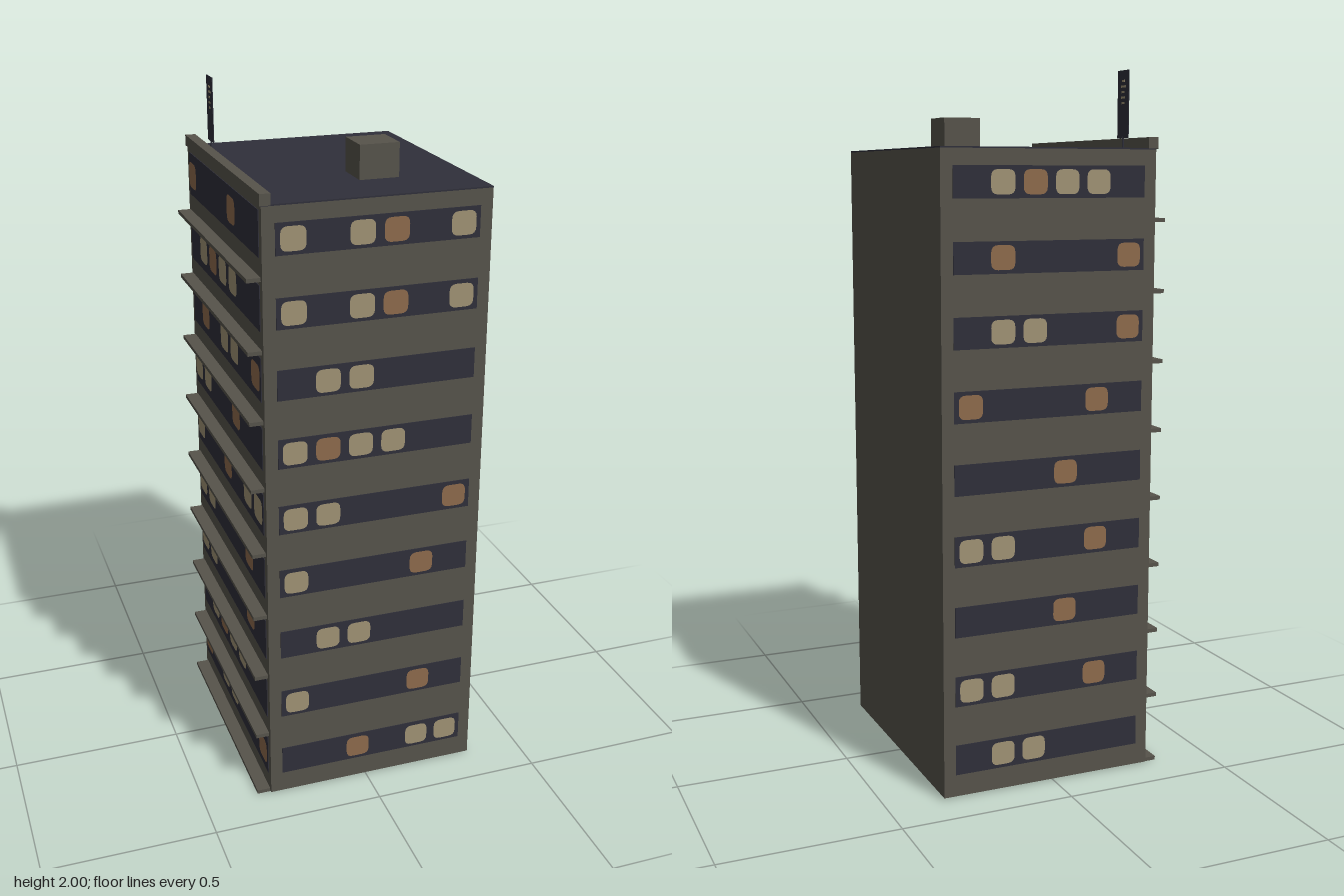
import * as THREE from 'three';

export function createModel() {
  const model = new THREE.Group();
  model.name = 'apartmentTower';

  const mat = (name, color) => {
    const m = new THREE.MeshStandardMaterial({ color });
    m.name = name;
    return m;
  };
  const wall = mat('concrete', 0x56534b);
  const dark = mat('darkGlass', 0x2f2f3a);
  const light = mat('paleLight', 0x9f9274);
  const amber = mat('amberLight', 0x8e6b4c);

  const add = (parent, name, geometry, material, x, y, z) => {
    const mesh = new THREE.Mesh(geometry, material);
    mesh.name = name;
    mesh.position.set(x, y, z);
    parent.add(mesh);
    return mesh;
  };
  // Box from its lower and upper limits on each axis
  const box = (name, material, [x0, x1], [y0, y1], [z0, z1]) =>
    add(model, name, new THREE.BoxGeometry(x1 - x0, y1 - y0, z1 - z0), material,
      (x0 + x1) / 2, (y0 + y1) / 2, (z0 + z1) / 2);

  // Lit window: flat square with rounded corners
  const litShape = (w, h, r) => {
    const s = new THREE.Shape();
    const a = w / 2, b = h / 2;
    s.moveTo(-a + r, -b);
    s.lineTo(a - r, -b).quadraticCurveTo(a, -b, a, -b + r);
    s.lineTo(a, b - r).quadraticCurveTo(a, b, a - r, b);
    s.lineTo(-a + r, b).quadraticCurveTo(-a, b, -a, b - r);
    s.lineTo(-a, -b + r).quadraticCurveTo(-a, -b, -a + r, -b);
    return new THREE.ShapeGeometry(s, 4);
  };

  // Main block, roof and roof details
  box('body', wall, [-0.3, 0.335], [0.005, 1.782], [-0.382, 0.382]);
  box('roof', dark, [-0.3, 0.335], [1.782, 1.786], [-0.382, 0.382]);
  box('parapet', wall, [-0.305, -0.275], [1.784, 1.815], [-0.385, 0.385]);
  box('roofHouse', wall, [0.025, 0.138], [1.785, 1.88], [0.097, 0.208]);

  // Roof sign: thin board on a short pole
  box('signPole', dark, [-0.258, -0.254], [1.785, 1.82], [-0.272, -0.268]);
  box('signBoard', dark, [-0.257, -0.255], [1.815, 2.0], [-0.302, -0.238]);
  for (let i = 0; i < 5; i++) {
    const w = i % 2 ? 0.012 : 0.008;
    box('signMark', light, [-0.2575, -0.2545], [1.908 + i * 0.015, 1.914 + i * 0.015],
      [-0.27 - w, -0.27 + w]);
  }

  // One string per floor from the top; p = pale light, a = amber light, . = unlit
  const frontLights = ['p.pa.p', 'p.pa.p', '.pp...', 'papp..', 'pp...a', 'p...a.', '.pp...', 'p...a.', '..a.pp'];
  // Listed from the model's left to its right, as seen from behind
  const backLights = ['.papp.', '.a...a', '.pp..a', 'a...a.', '...a..', 'pp..a.', '...a..', 'pp..a.', '.pp...'];
  // Listed from back to front
  const sideLights = ['a...a..', '.papp..', '.a.pp.a', 'pp..a..', 'p..a.pp', 'pp...a.', 'pp...a.', '.papp..', 'a.pp..a'];

  const pitch = 0.198;
  // A facade is built facing +z and then turned onto its wall
  const facade = (name, rows, topY, bandW, bandH, step, lit) => {
    const group = new THREE.Group();
    group.name = name;
    const band = new THREE.BoxGeometry(bandW, bandH, 0.004);
    rows.forEach((row, i) => {
      const y = topY - i * pitch;
      add(group, 'windowBand', band, dark, 0, y, 0);
      [...row].forEach((c, j) => {
        if (c === '.') return;
        add(group, 'litWindow', lit, c === 'p' ? light : amber,
          (j - (row.length - 1) / 2) * step, y, 0.004);
      });
    });
    model.add(group);
    return group;
  };

  const lit = litShape(0.07, 0.066, 0.02);
  const front = facade('frontWindows', frontLights, 1.695, 0.565, 0.086, 0.094, lit);
  front.position.set(0.018, 0, 0.382);

  const back = facade('backWindows', backLights, 1.695, 0.565, 0.086, 0.094, lit);
  back.rotation.y = Math.PI;
  back.position.set(0.018, 0, -0.382);

  const side = facade('balconyWindows', sideLights, 1.707, 0.72, 0.125, 0.105, litShape(0.08, 0.075, 0.022));
  side.rotation.y = -Math.PI / 2;
  side.position.set(-0.3, 0, 0);

  // Balcony slabs, one per floor
  for (let i = 0; i < 9; i++) {
    const y = i * pitch;
    box('balconySlab', wall, [-0.339, -0.298], [y, y + 0.011], [-0.37, 0.37]);
  }

  return model;
}
